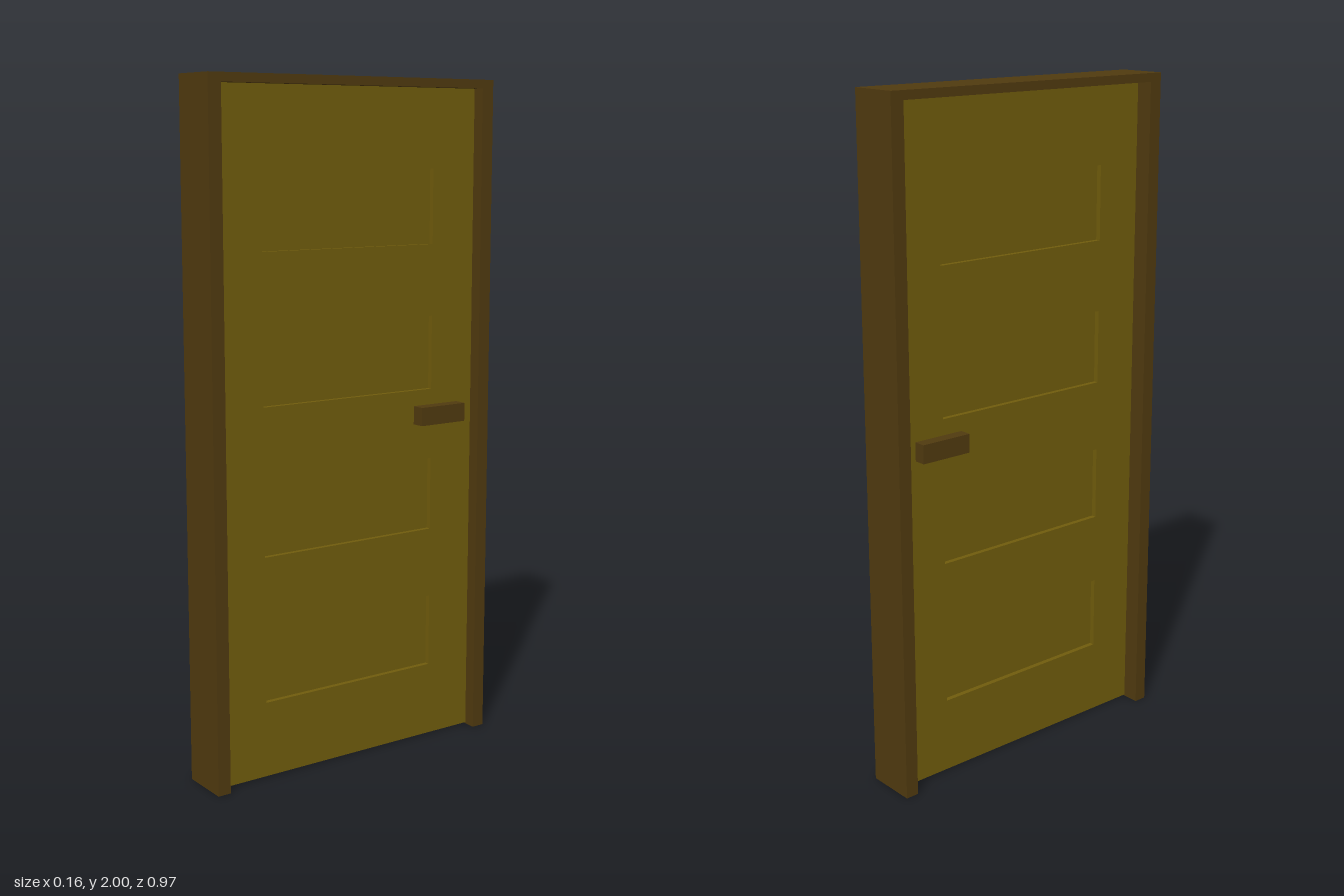
import * as THREE from 'three';

const frameMat = new THREE.MeshStandardMaterial({ color: 0x503a0f });
const doorMat = new THREE.MeshStandardMaterial({ color: 0x705c0c });

// Closed rectangle in the (z, y) plane
function rect(Type, z0, z1, y0, y1) {
  return new Type([[z0, y0], [z1, y0], [z1, y1], [z0, y1]].map(p => new THREE.Vector2(...p)));
}

// Extrude a (z, y) outline across x from x0 to x1
function extrudeX(shape, x0, x1) {
  const geo = new THREE.ExtrudeGeometry(shape, { depth: x1 - x0, bevelEnabled: false });
  return geo.rotateY(-Math.PI / 2).translate(x1, 0, 0);
}

export function createModel() {
  const model = new THREE.Group();
  model.name = 'door';
  const add = (name, geo, mat) => {
    const mesh = new THREE.Mesh(geo, mat);
    mesh.name = name;
    model.add(mesh);
  };

  // Frame: two jambs and a header, open at the floor
  const W = 0.485, w = 0.445, top = 1.975;
  const outline = [[-W, 0], [-w, 0], [-w, top], [w, top], [w, 0], [W, 0], [W, 2], [-W, 2]];
  const frame = new THREE.Shape(outline.map(p => new THREE.Vector2(...p)));
  add('frame', extrudeX(frame, -0.078, 0.075), frameMat);

  // Door leaf with four openings, backed by a thinner core that forms the sunk panels
  const x0 = -0.026, x1 = 0.038, sink = 0.015;
  const leaf = rect(THREE.Shape, -w, w, 0.004, top);
  const panels = [];
  for (let i = 0; i < 4; i++) {
    const y = 0.228 + i * 0.432;
    leaf.holes.push(rect(THREE.Path, -0.293, 0.3, y, y + 0.22));
    panels.push(rect(THREE.Shape, -0.293, 0.3, y, y + 0.22));
  }
  add('doorLeaf', extrudeX(leaf, x0, x1), doorMat);
  panels.forEach((p, i) => add('sunkPanel' + (i + 1), extrudeX(p, x0 + sink, x1 - sink), doorMat));

  // Block handles on both faces
  for (const [name, a, b] of [['handleLeft', x1, 0.078], ['handleRight', -0.062, x0]]) {
    add(name, extrudeX(rect(THREE.Shape, -0.39, -0.228, 0.99, 1.045), a, b), frameMat);
  }
  return model;
}
